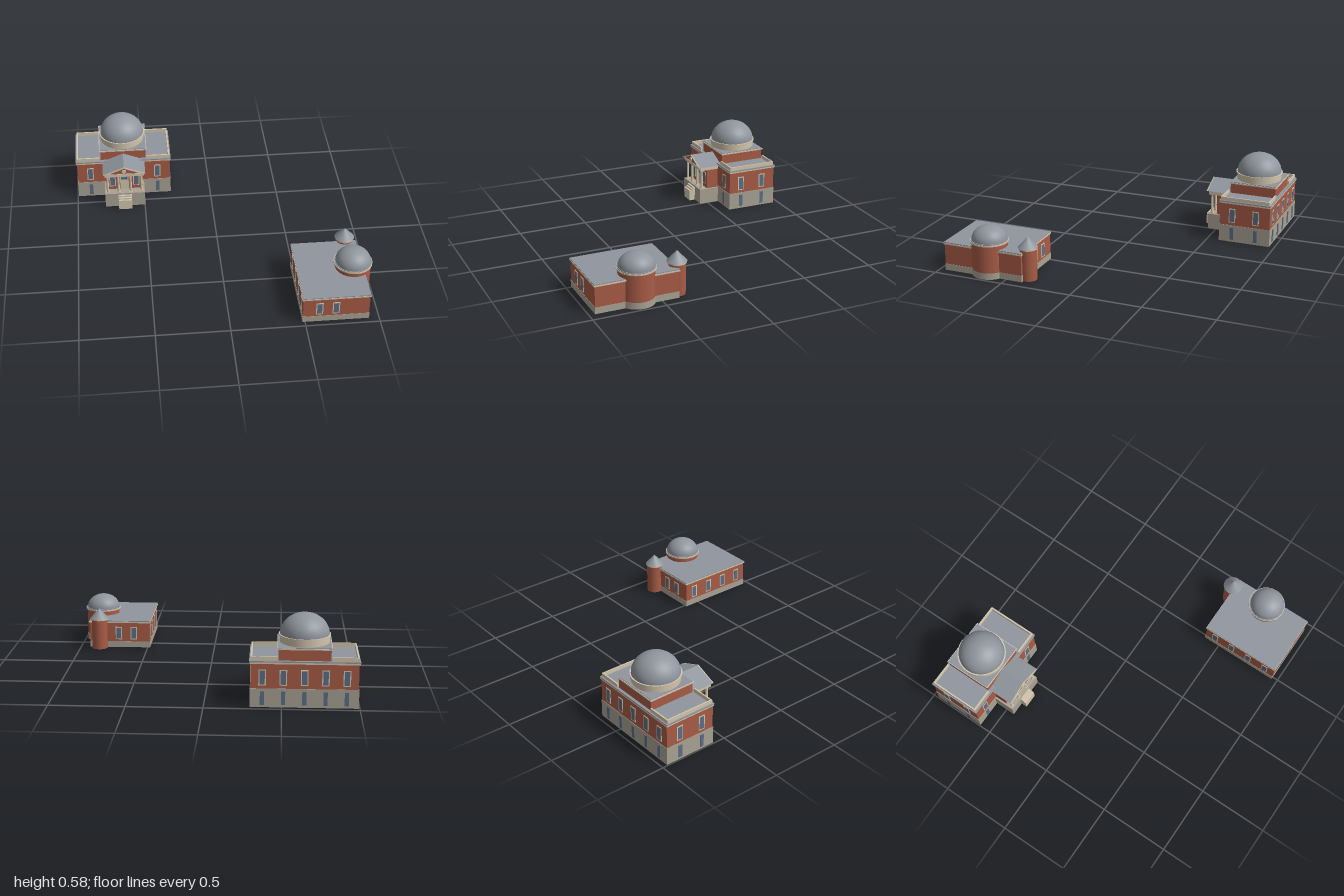
import * as THREE from 'three';

const mat = (name, color, side = THREE.FrontSide) => {
  const m = new THREE.MeshStandardMaterial({ color, side });
  m.name = name;
  return m;
};
const brick = mat('brick', 0xa85c46, THREE.DoubleSide);
const stone = mat('stone', 0xaaa394, THREE.DoubleSide);
const trim = mat('trim', 0xd3c6ac);
const slate = mat('slate', 0x90969e, THREE.DoubleSide);
const glass = mat('glass', 0x5b6f8a);

function add(parent, name, geometry, material, x = 0, y = 0, z = 0) {
  const mesh = new THREE.Mesh(geometry, material);
  mesh.name = name;
  mesh.position.set(x, y, z);
  parent.add(mesh);
  return mesh;
}

// Box given by its width, depth and bottom/top heights
const box = (p, name, m, x, z, w, d, y0, y1) =>
  add(p, name, new THREE.BoxGeometry(w, y1 - y0, d), m, x, (y0 + y1) / 2, z);

// Upright cylinder between two heights
const drum = (p, name, m, x, z, r, y0, y1, open = false, rTop = r, n = 32) =>
  add(p, name, new THREE.CylinderGeometry(rTop, r, y1 - y0, n, 1, open), m, x, (y0 + y1) / 2, z);

// Thin rectangular wall ring, open at top and bottom
function wallRing(p, name, m, x, z, w, d, y0, y1, t = 0.008) {
  const rect = (Type, a, b) => new Type([[-a, -b], [a, -b], [a, b], [-a, b]].map(([u, v]) => new THREE.Vector2(u, v)));
  const shape = rect(THREE.Shape, w / 2, d / 2);
  shape.holes.push(rect(THREE.Path, w / 2 - t, d / 2 - t));
  const g = new THREE.ExtrudeGeometry(shape, { depth: y1 - y0, bevelEnabled: false });
  g.rotateX(-Math.PI / 2);
  return add(p, name, g, m, x, y0, z);
}

function dome(p, name, x, z, r, y, h) {
  const g = new THREE.SphereGeometry(r, 32, 12, 0, Math.PI * 2, 0, Math.PI / 2);
  g.scale(1, h / r, 1);
  return add(p, name, g, slate, x, y, z);
}

// Window facing +z, turned by angle; the sill and frame are optional
function addWindow(p, x, y, z, angle, w, h, framed = true) {
  const g = new THREE.Group();
  g.name = 'window';
  g.position.set(x, y, z);
  g.rotation.y = angle;
  if (framed) add(g, 'windowFrame', new THREE.BoxGeometry(w, h, 0.006), trim);
  const k = framed ? 0.014 : 0;
  add(g, 'windowPane', new THREE.BoxGeometry(w - k, h - k, 0.008), glass);
  p.add(g);
}

function mainHall() {
  const g = new THREE.Group();
  g.name = 'mainHall';
  const X = -0.645, Z = -0.775, W = 0.69, D = 0.37;
  const front = Z + D / 2, back = Z - D / 2;

  // Walls, cornice and flat roof
  wallRing(g, 'stoneBasement', stone, X, Z, W + 0.006, D + 0.006, 0, 0.125);
  box(g, 'brickWalls', brick, X, Z, W, D, 0.12, 0.29);
  box(g, 'cornice', trim, X, Z, W + 0.012, D + 0.01, 0.288, 0.299);
  box(g, 'corniceCap', slate, X, Z, W + 0.018, D + 0.012, 0.299, 0.307);

  // Parapets around the two wings
  for (const s of [-1, 1]) {
    box(g, 'sideParapet', trim, X + s * 0.34, Z, 0.01, D - 0.01, 0.307, 0.333);
    for (const z of [front - 0.01, back + 0.01])
      box(g, 'wingParapet', trim, X + s * 0.26, z, 0.17, 0.01, 0.307, 0.333);
  }

  // Attic block, drum and dome
  box(g, 'attic', brick, X, -0.778, 0.335, 0.335, 0.307, 0.38);
  box(g, 'atticCornice', trim, X, -0.778, 0.352, 0.348, 0.378, 0.387);
  box(g, 'atticRoof', slate, X, -0.778, 0.342, 0.338, 0.387, 0.391);
  drum(g, 'domeDrum', trim, X, Z, 0.161, 0.39, 0.435);
  drum(g, 'drumCornice', trim, X, Z, 0.169, 0.433, 0.443);
  dome(g, 'mainDome', X, Z, 0.16, 0.443, 0.138);

  // Windows on the four sides, with basement lights below
  const bay = (x, z, a) => {
    addWindow(g, x, 0.198, z, a, 0.048, 0.105);
    addWindow(g, x + Math.sin(a) * 0.003, 0.062, z + Math.cos(a) * 0.003, a, 0.027, 0.09, false);
  };
  for (const s of [-1, 1]) {
    bay(X + s * 0.25, front, 0);
    for (const z of [-0.682, -0.857]) bay(X + s * W / 2, z, s * Math.PI / 2);
  }
  for (let i = -2; i <= 2; i++) bay(X + i * 0.135, back, Math.PI);
  g.add(portico(X, front));
  return g;
}

function portico(X, wallZ) {
  const g = new THREE.Group();
  g.name = 'portico';
  const F = -0.437;
  box(g, 'porticoBase', stone, X, (F + wallZ) / 2, 0.296, wallZ - F < 0 ? F - wallZ : 0.15, 0, 0.114);
  box(g, 'vestibule', brick, X, (-0.5 + wallZ) / 2, 0.27, 0.09, 0.114, 0.266);
  box(g, 'entablature', trim, X, (F + wallZ) / 2, 0.29, 0.148, 0.264, 0.292);

  // Four columns with base and capital
  for (const dx of [-0.125, -0.045, 0.045, 0.125]) {
    drum(g, 'column', trim, X + dx, -0.459, 0.0095, 0.114, 0.264, false, 0.008, 16);
    for (const y of [0.114, 0.257])
      box(g, 'columnBlock', trim, X + dx, -0.459, 0.023, 0.023, y, y + 0.007);
  }

  // Gable roof, brick pediment, sloping trim and round medallion
  const gable = (hw, y0, y1) => new THREE.Shape([[-hw, y0], [hw, y0], [0, y1]].map(([a, b]) => new THREE.Vector2(a, b)));
  const prism = (name, shape, m, z0, z1) =>
    add(g, name, new THREE.ExtrudeGeometry(shape, { depth: z1 - z0, bevelEnabled: false }), m, X, 0, z0);
  prism('gableRoof', gable(0.156, 0.292, 0.354), slate, -0.612, -0.43);
  const rake = gable(0.156, 0.292, 0.354);
  rake.holes.push(new THREE.Path(gable(0.118, 0.298, 0.345).getPoints()));
  prism('pedimentTrim', rake, trim, -0.43, -0.424);
  prism('pediment', gable(0.12, 0.297, 0.346), brick, -0.43, -0.428);
  const disc = drum(g, 'medallion', trim, X, -0.426, 0.016, 0, 0.008, false, 0.016, 24);
  disc.rotation.x = Math.PI / 2;
  disc.position.y = 0.318;

  // Entrance door with a transom light, flanked by windows
  box(g, 'door', trim, X, -0.499, 0.064, 0.008, 0.114, 0.235);
  addWindow(g, X, 0.213, -0.494, 0, 0.046, 0.02, false);
  for (const s of [-1, 1]) addWindow(g, X + s * 0.088, 0.188, -0.5, 0, 0.048, 0.095);

  // Front steps
  [[-0.394, 0.078], [-0.408, 0.09], [-0.422, 0.102]].forEach(([z, y]) =>
    box(g, 'step', trim, X, (z + F) / 2, 0.1, z - F, 0, y));
  return g;
}

function annex() {
  const g = new THREE.Group();
  g.name = 'annex';
  const X = 0.707, Z = 0.671, W = 0.446, D = 0.574;

  // Low hollow block with a flat roof
  wallRing(g, 'annexBase', stone, X, Z, W + 0.004, D + 0.004, 0, 0.045);
  wallRing(g, 'annexWalls', brick, X, Z, W, D, 0.045, 0.19);
  wallRing(g, 'annexCornice', trim, X, Z, W + 0.012, D + 0.012, 0.187, 0.197, 0.015);
  box(g, 'annexRoof', slate, X, Z, W + 0.008, D + 0.008, 0.195, 0.203);

  // Round tower with a dome
  const tx = 0.864, tz = 0.65;
  drum(g, 'towerBase', stone, tx, tz, 0.124, 0, 0.045, true);
  drum(g, 'towerWall', brick, tx, tz, 0.122, 0.045, 0.238, true);
  drum(g, 'towerCornice', trim, tx, tz, 0.131, 0.235, 0.245);
  drum(g, 'towerCorniceCap', slate, tx, tz, 0.127, 0.245, 0.25);
  dome(g, 'towerDome', tx, tz, 0.12, 0.25, 0.095);

  // Slim turret with a cone roof
  const cx = 0.856, cz = 0.366;
  drum(g, 'turretWall', brick, cx, cz, 0.058, 0, 0.222, true, 0.058, 24);
  drum(g, 'turretCornice', trim, cx, cz, 0.064, 0.218, 0.228, false, 0.064, 24);
  add(g, 'turretRoof', new THREE.ConeGeometry(0.068, 0.074, 24), slate, cx, 0.265, cz);

  // Windows on front, back and outer side
  for (const x of [0.594, 0.705]) {
    addWindow(g, x, 0.108, Z + D / 2, 0, 0.048, 0.096);
    addWindow(g, x + 0.01, 0.108, Z - D / 2, Math.PI, 0.048, 0.096);
  }
  for (let i = -1.5; i <= 1.5; i++)
    addWindow(g, X - W / 2, 0.108, Z + i * 0.14, -Math.PI / 2, 0.048, 0.096);
  return g;
}

export function createModel() {
  const model = new THREE.Group();
  model.name = 'domedBuildings';
  model.add(mainHall(), annex());
  return model;
}
